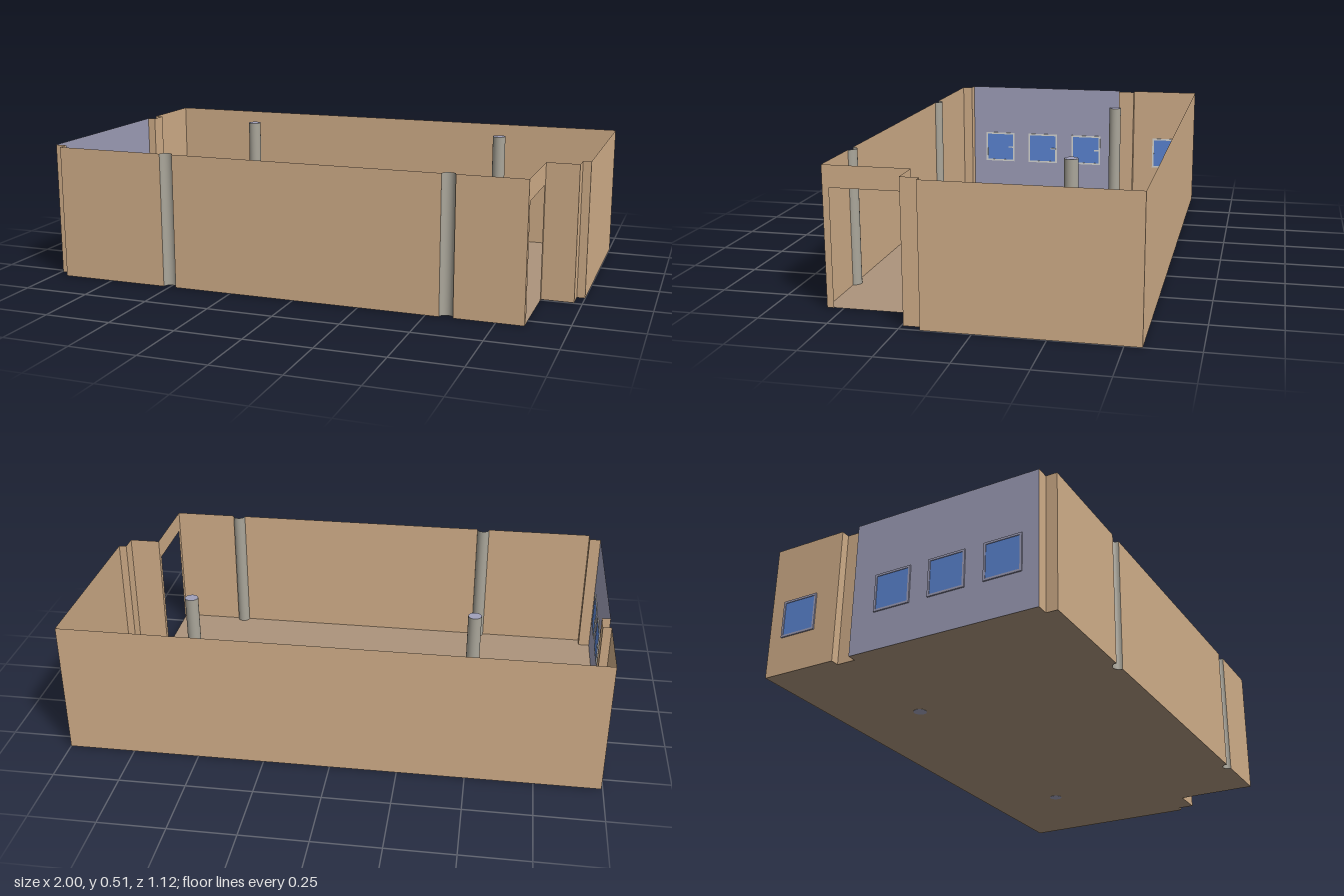
import * as THREE from 'three';

const H = 0.51;      // wall height
const R = 0.025;     // column radius
const COLUMN_X = [-0.5, 0.575];
const FRONT = 0.56, BACK = -0.56, SIDE = -0.995;

function material(name, color, doubleSided = true) {
  const m = new THREE.MeshStandardMaterial({ color });
  m.name = name;
  if (doubleSided) m.side = THREE.DoubleSide;
  return m;
}

export function createModel() {
  const tan = material('tan wall', 0xd2af8a);
  const brown = material('brown floor', 0xac947c);
  const lilac = material('lilac wall', 0xa0a0ba);
  const grey = material('grey column', 0xaaa69a);
  const blue = material('blue glass', 0x5c86d4, false);
  const light = material('light frame', 0xd8d8d6, false);

  const model = new THREE.Group();
  model.name = 'room';

  function add(parent, name, geometry, mat, x = 0, y = 0, z = 0) {
    const mesh = new THREE.Mesh(geometry, mat);
    mesh.name = name;
    mesh.position.set(x, y, z);
    parent.add(mesh);
    return mesh;
  }

  // Upright sheet from plan point a to plan point b
  function wall(name, [ax, az], [bx, bz], mat = tan) {
    const length = Math.hypot(bx - ax, bz - az);
    const mesh = add(model, name, new THREE.PlaneGeometry(length, H), mat,
      (ax + bx) / 2, H / 2, (az + bz) / 2);
    mesh.rotation.y = -Math.atan2(bz - az, bx - ax);
  }

  // Plan outline, starting at the front door corner and running round the back
  const outline = [
    [0.85, FRONT], [0.85, 0.243], [0.97, 0.243], [0.97, 0.176], [1, 0.176],
    [1, BACK], [SIDE, BACK], [SIDE, -0.273], [-0.963, -0.273], [-0.963, -0.203],
    [SIDE, -0.203], [SIDE, 0.518], [-0.95, 0.518], [-0.95, FRONT],
  ];
  for (let i = 1; i < outline.length - 1; i++) {
    const windowWall = i === 10;
    wall(windowWall ? 'lilacWall' : 'wall', outline[i], outline[i + 1], windowWall ? lilac : tan);
  }

  // Front wall, broken by the two round niches
  const stops = [-0.95, ...COLUMN_X.flatMap((x) => [x - R, x + R]), 0.85];
  for (let i = 0; i < stops.length; i += 2) {
    wall('frontWall', [stops[i], FRONT], [stops[i + 1], FRONT]);
  }
  for (const x of COLUMN_X) {
    add(model, 'columnNiche',
      new THREE.CylinderGeometry(R, R, H, 16, 1, true, Math.PI / 2, Math.PI),
      grey, x, H / 2, FRONT);
  }

  // Wall around the doorway
  const doorShape = new THREE.Shape([
    [0.243, 0], [0.265, 0], [0.265, 0.43], [0.535, 0.43],
    [0.535, 0], [FRONT, 0], [FRONT, H], [0.243, H],
  ].map(([z, y]) => new THREE.Vector2(-z, y)));
  add(model, 'doorWall', new THREE.ShapeGeometry(doorShape), tan, 0.85).rotation.y = Math.PI / 2;

  // Floor follows the walls and niches
  const floorPoints = outline.map(([x, z]) => new THREE.Vector2(x, z));
  for (const x of COLUMN_X) {
    for (let i = 0; i <= 10; i++) {
      const a = Math.PI * i / 10;
      floorPoints.push(new THREE.Vector2(x - R * Math.cos(a), FRONT - R * Math.sin(a)));
    }
  }
  const floorGeometry = new THREE.ShapeGeometry(new THREE.Shape(floorPoints));
  floorGeometry.rotateX(Math.PI / 2);
  add(model, 'floor', floorGeometry, brown, 0, 0.001, 0);

  // Free-standing columns with lilac ends
  for (const x of COLUMN_X) {
    add(model, 'column', new THREE.CylinderGeometry(R, R, H, 24),
      [grey, lilac, lilac], x, H / 2, -0.25);
  }

  // Windows: outer casing, glass on both faces, inner ring and handle
  function ring(w, h, border, depth) {
    const rect = (a, b) => [[-a, -b], [a, -b], [a, b], [-a, b]].map(([u, v]) => new THREE.Vector2(u, v));
    const shape = new THREE.Shape(rect(w / 2, h / 2));
    shape.holes.push(new THREE.Path(rect(w / 2 - border, h / 2 - border)));
    const g = new THREE.ExtrudeGeometry(shape, { depth, bevelEnabled: false });
    return g.rotateY(Math.PI / 2);
  }
  for (const z of [-0.435, -0.04, 0.174, 0.387]) {
    const win = new THREE.Group();
    win.name = 'window';
    win.position.set(SIDE, 0.214, z);
    model.add(win);
    add(win, 'outerCasing', ring(0.142, 0.142, 0.008, 0.005), lilac, -0.005);
    add(win, 'innerFrame', ring(0.142, 0.142, 0.008, 0.004), light);
    add(win, 'glass', new THREE.BoxGeometry(0.005, 0.126, 0.126), blue);
    add(win, 'handle', new THREE.BoxGeometry(0.003, 0.006, 0.025), light, 0.004, 0, -0.053);
  }

  return model;
}
